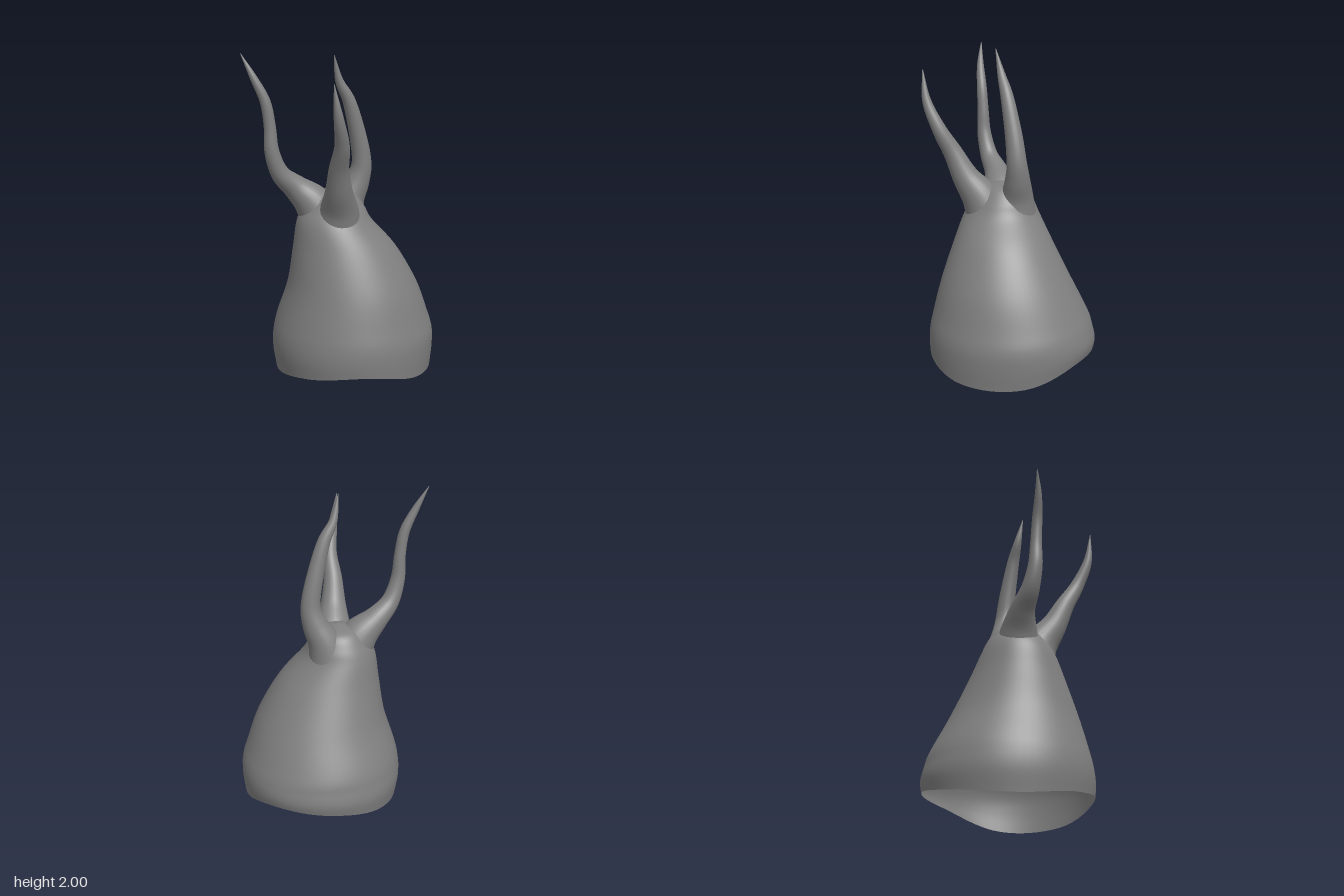
import * as THREE from 'three';
import { mergeVertices } from 'three/addons/utils/BufferGeometryUtils.js';

const material = new THREE.MeshStandardMaterial({ color: 0x808080, side: THREE.DoubleSide });
const v = (x, y, z) => new THREE.Vector3(x, y, z);
const smooth = (points, closed = false) => new THREE.CatmullRomCurve3(points, closed, 'catmullrom', 0.5);

// Wavy open rim: height every 45 degrees, from +x towards +z
const RIM = smooth([0.035, 0.035, 0.105, 0.06, 0.005, 0.05, 0.125, 0.135].map((h) => v(h, 0, 0)), true);

// Body sections: y, x min, x max, z min, z max
const SECTIONS = [
  [0.00, -0.41, 0.582, -0.515, 0.515],
  [0.14, -0.43, 0.595, -0.525, 0.52],
  [0.25, -0.425, 0.592, -0.51, 0.515],
  [0.36, -0.40, 0.56, -0.48, 0.495],
  [0.57, -0.335, 0.48, -0.375, 0.44],
  [0.80, -0.30, 0.345, -0.265, 0.355],
  [0.97, -0.275, 0.195, -0.19, 0.28],
  [1.06, -0.23, 0.145, -0.15, 0.22],
  [1.14, -0.16, 0.08, -0.09, 0.15],
  [1.17, -0.05, -0.03, 0.03, 0.05],
];

function bodyGeometry(cols = 64, rows = 54) {
  const mins = smooth(SECTIONS.map((s) => v(s[1], s[0], s[3])));
  const maxs = smooth(SECTIONS.map((s) => v(s[2], s[0], s[4])));
  const pos = [], idx = [];
  for (let j = 0; j <= rows; j++) {
    const a = mins.getPoint(j / rows), b = maxs.getPoint(j / rows);
    const lift = Math.max(0, 1 - a.y / 0.4) ** 2; // the rim wave fades out upwards
    for (let i = 0; i < cols; i++) {
      const t = (i / cols) * Math.PI * 2;
      pos.push((a.x + b.x) / 2 + Math.cos(t) * (b.x - a.x) / 2,
        a.y + RIM.getPoint(i / cols).x * lift,
        (a.z + b.z) / 2 + Math.sin(t) * (b.z - a.z) / 2);
      if (j < rows) {
        const k = j * cols + i, n = j * cols + (i + 1) % cols;
        idx.push(k, k + cols, n, n, k + cols, n + cols);
      }
    }
  }
  // close the crown
  const last = rows * cols;
  pos.push(-0.04, 1.17, 0.04);
  for (let i = 0; i < cols; i++) idx.push(last + i, last + cols, last + (i + 1) % cols);
  const g = new THREE.BufferGeometry();
  g.setAttribute('position', new THREE.Float32BufferAttribute(pos, 3));
  g.setIndex(idx);
  g.computeVertexNormals();
  return g;
}

// Tapered tube through points [x, y, z, radius]
function tentacleGeometry(points, segments = 56, sides = 24) {
  const path = smooth(points.map((p) => v(p[0], p[1], p[2])));
  const radii = smooth(points.map((p) => v(p[3], 0, 0)));
  const tube = new THREE.TubeGeometry(path, segments, 1, sides, false);
  const pos = tube.attributes.position, p = v(0, 0, 0);
  for (let i = 0; i <= segments; i++) {
    const u = i / segments, centre = path.getPointAt(u);
    const r = Math.max(0.002, radii.getPoint(path.getUtoTmapping(u)).x);
    for (let j = 0; j <= sides; j++) {
      const k = i * (sides + 1) + j;
      p.fromBufferAttribute(pos, k).sub(centre).multiplyScalar(r).add(centre);
      pos.setXYZ(k, p.x, p.y, p.z);
    }
  }
  tube.deleteAttribute('uv');
  tube.deleteAttribute('normal');
  const g = mergeVertices(tube, 1e-5);
  g.computeVertexNormals();
  return g;
}

// Each root starts deep in the body and leaves it at a shallow angle
const TENTACLES = {
  rightTentacle: [
    [-0.08, 0.84, 0.04, 0.15], [-0.115, 0.98, 0.035, 0.142], [-0.18, 1.09, 0.035, 0.115],
    [-0.28, 1.185, 0.045, 0.078], [-0.375, 1.28, 0.08, 0.057], [-0.425, 1.42, 0.105, 0.045],
    [-0.435, 1.57, 0.11, 0.036], [-0.46, 1.72, 0.115, 0.032], [-0.525, 1.86, 0.115, 0.022],
    [-0.597, 2.0, 0.1, 0.002],
  ],
  frontTentacle: [
    [-0.03, 0.8, 0.09, 0.17], [-0.03, 0.94, 0.125, 0.15], [-0.03, 1.07, 0.18, 0.118],
    [-0.045, 1.2, 0.27, 0.083], [-0.055, 1.35, 0.345, 0.06], [-0.05, 1.5, 0.43, 0.044],
    [-0.08, 1.67, 0.5, 0.028], [-0.108, 1.86, 0.52, 0.002],
  ],
  leftTentacle: [
    [0.0, 0.78, -0.01, 0.17], [0.02, 0.94, -0.025, 0.145], [0.058, 1.08, -0.035, 0.105],
    [0.115, 1.2, -0.03, 0.078], [0.14, 1.315, -0.02, 0.062], [0.115, 1.48, -0.005, 0.053],
    [0.055, 1.7, 0.025, 0.04], [-0.01, 1.83, 0.05, 0.025], [-0.045, 1.985, 0.08, 0.002],
  ],
};

export function createModel() {
  const group = new THREE.Group();
  const add = (name, geometry) => {
    const mesh = new THREE.Mesh(geometry, material);
    mesh.name = name;
    group.add(mesh);
  };
  add('body', bodyGeometry());
  for (const [name, points] of Object.entries(TENTACLES)) add(name, tentacleGeometry(points));
  return group;
}
